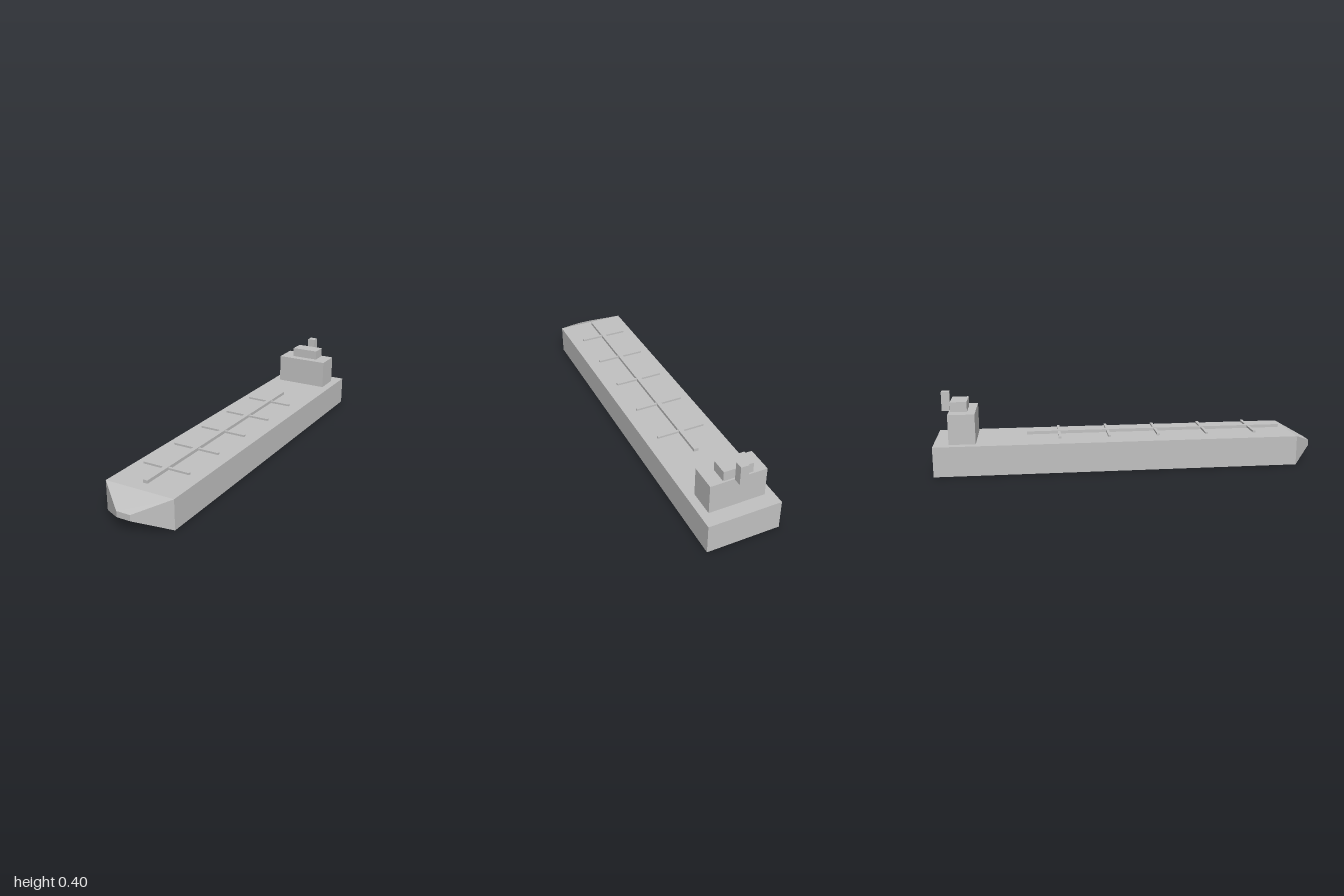
import * as THREE from 'three';

export function createModel() {
  const ship = new THREE.Group();
  ship.name = 'tankerShip';
  const grey = new THREE.MeshStandardMaterial({ color: 0xc0c0c0 });
  grey.name = 'hull grey';

  // Box given by its half width and its y and z ranges, centred on x = 0
  function block(name, halfWidth, y0, y1, z0, z1) {
    const geometry = new THREE.BoxGeometry(halfWidth * 2, y1 - y0, z1 - z0);
    geometry.translate(0, (y0 + y1) / 2, (z0 + z1) / 2);
    const mesh = new THREE.Mesh(geometry, grey);
    mesh.name = name;
    ship.add(mesh);
    return mesh;
  }

  // Hull
  block('hull', 0.188, 0, 0.154, -1, 0.88);

  // Bow: a block whose front end narrows to a small rectangle
  const bow = block('bow', 0.188, 0, 0.154, 0.88, 1).geometry;
  const p = bow.attributes.position;
  for (let i = 0; i < p.count; i++) {
    if (p.getZ(i) > 0.95) {
      p.setX(i, p.getX(i) * 0.2);
      p.setY(i, 0.077 + (p.getY(i) - 0.077) * 0.2);
    }
  }
  bow.computeVertexNormals();

  // Superstructure at the stern
  block('deckhouse', 0.145, 0.154, 0.308, -0.923, -0.788);
  block('bridge', 0.076, 0.308, 0.359, -0.914, -0.83);
  block('funnel', 0.021, 0.304, 0.402, -0.962, -0.921);

  // Deck piping: one long main with evenly spaced branches
  block('mainPipe', 0.012, 0.164, 0.18, -0.53, 0.832);
  for (let i = 0; i < 5; i++) {
    const z = -0.362 + i * 0.2565;
    block('crossPipe' + (i + 1), 0.128, 0.167, 0.177, z - 0.007, z + 0.007);
  }

  return ship;
}
